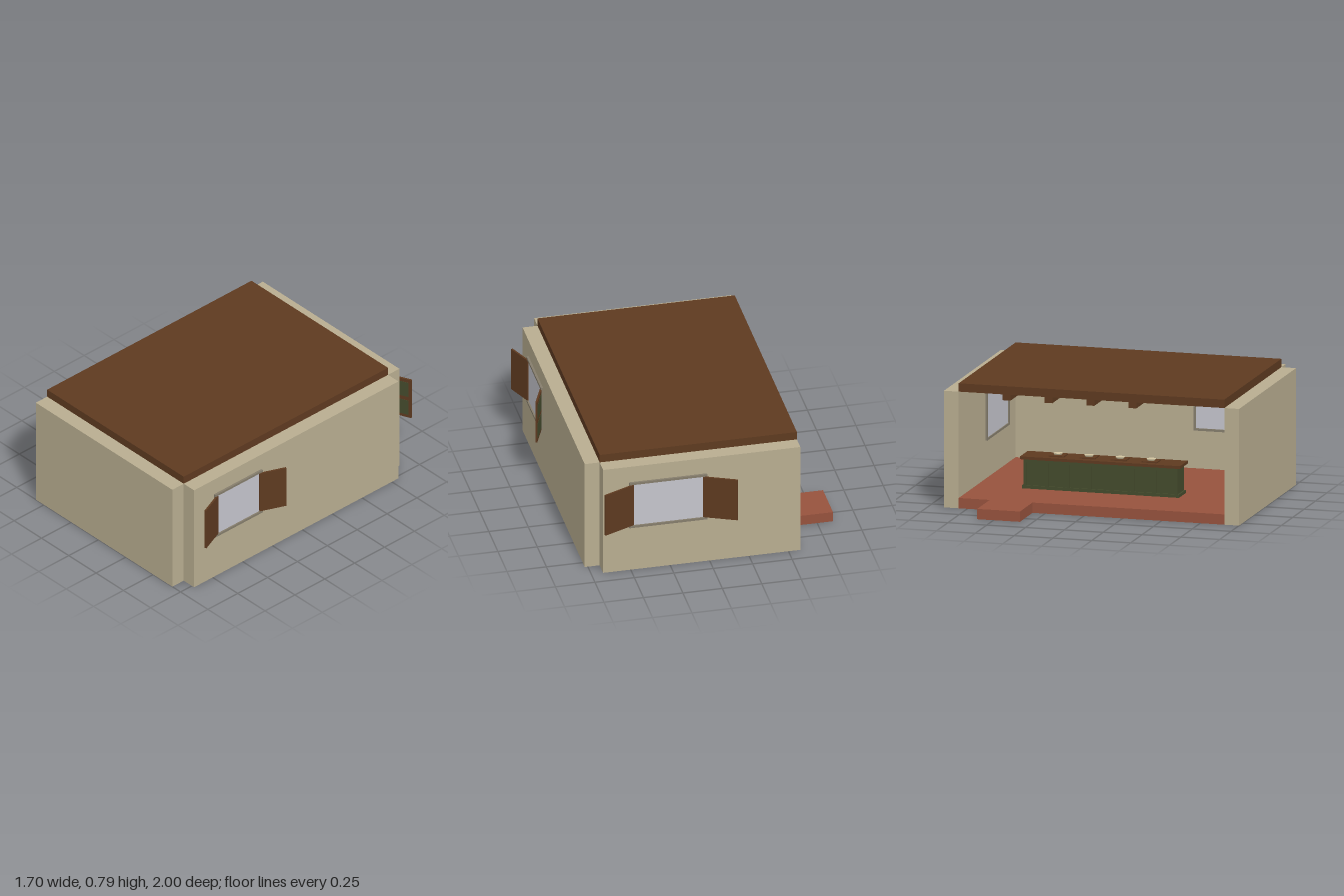
import * as THREE from 'three';

const mat = (name, color) => {
  const m = new THREE.MeshStandardMaterial({ color });
  m.name = name;
  return m;
};

export function createModel() {
  const plaster = mat('plaster', 0xb8ad90);
  const wood = mat('dark wood', 0x5e3a20);
  const terracotta = mat('terracotta', 0x96523d);
  const green = mat('green paint', 0x434a2c);
  const glass = mat('window glass', 0xc4c4cc);
  const stone = mat('window stone', 0x857d6c);
  const cream = mat('cream', 0xd2c4a0);

  const root = new THREE.Group();
  root.name = 'openRoom';

  // Box given by its lower and upper limits on each axis
  const box = (parent, name, material, x0, x1, y0, y1, z0, z1) => {
    const mesh = new THREE.Mesh(new THREE.BoxGeometry(x1 - x0, y1 - y0, z1 - z0), material);
    mesh.position.set((x0 + x1) / 2, (y0 + y1) / 2, (z0 + z1) / 2);
    mesh.name = name;
    parent.add(mesh);
    return mesh;
  };
  const group = (parent, name) => {
    const g = new THREE.Group();
    g.name = name;
    parent.add(g);
    return g;
  };

  // Shell: floor, doorstep, three walls and a flat roof, open on -x
  box(root, 'floor', terracotta, -0.575, 0.675, 0, 0.065, -0.805, 0.905);
  box(root, 'doorstep', terracotta, -0.85, -0.575, 0, 0.065, -0.605, -0.33);
  box(root, 'backWall', plaster, -0.575, 0.675, 0, 0.737, -0.9, -0.805);
  box(root, 'frontWall', plaster, -0.575, 0.675, 0, 0.737, 0.905, 1);
  box(root, 'sideWall', plaster, 0.675, 0.77, 0, 0.737, -0.805, 0.905);
  box(root, 'roof', wood, -0.575, 0.675, 0.737, 0.79, -0.805, 0.905);

  // Ceiling beams
  for (let i = 0; i < 4; i++) {
    const z = 0.3 - i * 0.27;
    box(root, 'ceilingBeam', wood, -0.53, 0.675, 0.69, 0.737, z - 0.025, z + 0.025);
  }

  // Window facing local +z, with the wall surface at z = 0
  const addWindow = (name, halfWidth, hinge, length, angle) => {
    const w = group(root, name);
    box(w, 'glass', glass, -halfWidth + 0.01, halfWidth - 0.01, 0.32, 0.614, -0.099, 0.004);
    box(w, 'lintel', stone, -halfWidth, halfWidth, 0.612, 0.627, -0.105, 0.014);
    box(w, 'sill', stone, -halfWidth, halfWidth, 0.305, 0.32, -0.105, 0.014);
    for (const s of [-1, 1]) {
      const a = s * (halfWidth - 0.015), b = s * halfWidth;
      box(w, 'jamb', stone, Math.min(a, b), Math.max(a, b), 0.32, 0.612, -0.105, 0.01);
      // Open shutter with two painted panels on the side towards the wall
      const shutter = group(w, 'shutter');
      shutter.position.set(s * hinge, 0, 0.008);
      shutter.rotation.y = -s * angle;
      const span = (u0, u1) => (s > 0 ? [u0, u1] : [-u1, -u0]);
      box(shutter, 'shutterBoard', wood, ...span(0, length), 0.324, 0.61, -0.006, 0.006);
      for (const y of [0.345, 0.48]) {
        box(shutter, 'shutterPanel', green, ...span(0.018, length - 0.018), y, y + 0.107, -0.008, -0.005);
      }
    }
    return w;
  };
  const side = addWindow('sideWindow', 0.198, 0.175, 0.175, 0.39);
  side.position.set(0.77, 0, 0.541);
  side.rotation.y = Math.PI / 2;
  const back = addWindow('backWindow', 0.247, 0.222, 0.217, 0.41);
  back.position.set(0.264, 0, -0.9);
  back.rotation.y = Math.PI;

  // Long counter with panelled sides
  const counter = group(root, 'counter');
  box(counter, 'counterBody', green, -0.18, -0.05, 0.065, 0.25, -0.5, 0.49);
  box(counter, 'counterPlinth', green, -0.19, -0.04, 0.065, 0.085, -0.51, 0.5);
  box(counter, 'counterTop', wood, -0.2, -0.03, 0.25, 0.268, -0.52, 0.51);
  for (let i = 0; i <= 7; i++) {
    const z = -0.5 + i * 0.1387;
    box(counter, 'counterPost', green, -0.19, -0.04, 0.085, 0.25, z - 0.001, z + 0.019);
  }
  box(counter, 'counterRail', green, -0.19, -0.04, 0.23, 0.25, -0.5, 0.49);

  // Trays and plates on the counter
  for (let i = 0; i < 4; i++) {
    const z = -0.3 + i * 0.2;
    box(counter, 'tray', wood, -0.16, -0.07, 0.268, 0.276, z - 0.05, z + 0.05);
    const plate = new THREE.Mesh(new THREE.CylinderGeometry(0.03, 0.024, 0.01, 12), cream);
    plate.position.set(-0.115, 0.281, z);
    plate.name = 'plate';
    counter.add(plate);
  }

  return root;
}
